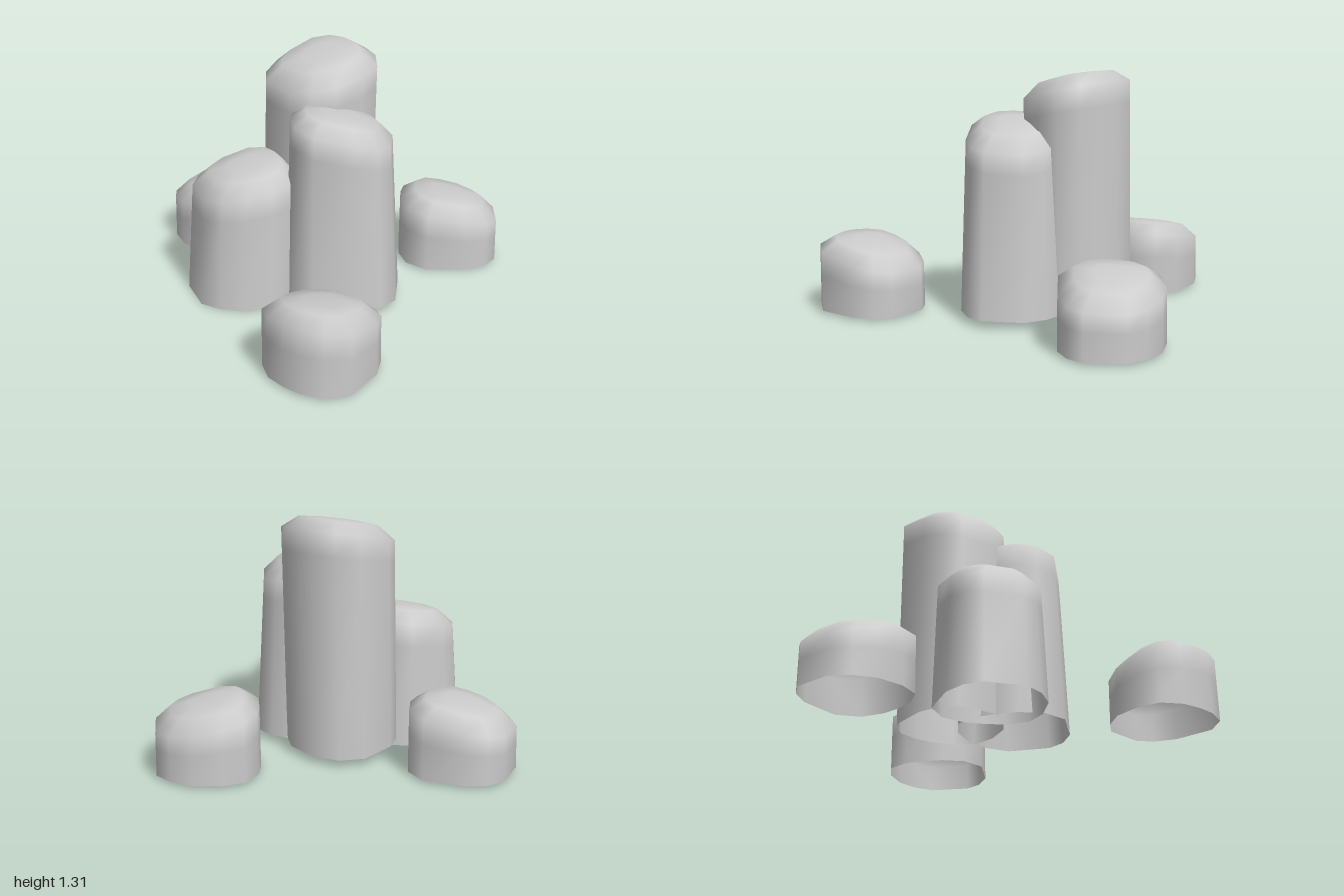
import * as THREE from 'three';

const material = new THREE.MeshStandardMaterial({ color: 0xcccccc, side: THREE.DoubleSide });

// Worn footprint (x, z) shared by all columns; its cap is high at -x and low at +x
const outline = [[-.27, -.03], [-.25, -.14], [-.18, -.24], [-.06, -.27], [.09, -.25], [.2, -.18], [.27, -.09],
  [.27, .12], [.21, .2], [.1, .255], [-.12, .27], [-.23, .19], [-.27, .07]];

// turn: degrees from x towards z, rim: rim height at the middle, tilt: slope of the cap,
// shrink: width of the top against the foot, lean: sideways shift of the top
const columns = [
  { name: 'tallColumn', x: 0.11, z: 0, turn: 194, base: 0.04, rim: 1.197, tilt: 0.235, scale: 1.02, shrink: 1, lean: [0, 0.02] },
  { name: 'frontColumn', x: -0.05, z: 0.3, turn: 58, base: 0.04, rim: 0.965, tilt: 0.23, scale: 1.1, shrink: 0.88, lean: [-0.01, -0.01] },
  { name: 'backLeftColumn', x: -0.337, z: -0.153, turn: 209, base: 0, rim: 0.655, tilt: 0.2, scale: 1.05, shrink: 0.92, lean: [0.01, 0.01] },
  { name: 'frontLeftStump', x: -0.73, z: 0.7, turn: 0, base: 0.015, rim: 0.303, tilt: 0.2, scale: 1, shrink: 0.99, lean: [0, 0] },
  { name: 'frontRightStump', x: 0.725, z: 0.463, turn: 54, base: 0.015, rim: 0.303, tilt: 0.2, scale: 1.01, shrink: 0.99, lean: [0, 0] },
  { name: 'backStump', x: 0.077, z: -0.7, turn: -95, base: 0.015, rim: 0.303, tilt: 0.2, scale: 1, shrink: 0.99, lean: [0, 0] },
];

// Open-bottomed column: straight wall, sloping rim, wide bevel and a slightly domed cap
function makeColumn({ name, x, z, turn, base, rim, tilt, scale, shrink, lean }) {
  const n = outline.length;
  const angle = THREE.MathUtils.degToRad(turn);
  const highSide = THREE.MathUtils.degToRad(169);
  const positions = [];
  const index = [];

  // t: share of the way up the wall, inset: ring size, lift: height above the rim
  const rings = [
    { t: 0, inset: 1, lift: 0 },
    { t: 1 - 0.12 / rim, inset: 1, lift: 0 },
    { t: 1, inset: 1, lift: 0 },
    { t: 1, inset: 0.7, lift: 0.068 },
    { t: 1, inset: 0.35, lift: 0.08 },
  ];
  for (const { t, inset, lift } of rings) {
    const size = scale * inset * THREE.MathUtils.lerp(1, shrink, t);
    for (const [cornerX, cornerZ] of outline) {
      const px = cornerX * size, pz = cornerZ * size;
      const top = rim + lift + tilt * (px * Math.cos(highSide) + pz * Math.sin(highSide));
      positions.push(
        px * Math.cos(angle) - pz * Math.sin(angle) + lean[0] * t,
        THREE.MathUtils.lerp(base, top, t),
        px * Math.sin(angle) + pz * Math.cos(angle) + lean[1] * t,
      );
    }
  }
  positions.push(lean[0], rim + 0.082, lean[1]);

  // Wall and bevel strips, then the fan that closes the cap
  const last = (rings.length - 1) * n;
  for (let start = 0; start < last; start += n) {
    for (let i = 0; i < n; i++) {
      const a = start + i, b = start + (i + 1) % n;
      index.push(a, a + n, b, b, a + n, b + n);
    }
  }
  for (let i = 0; i < n; i++) index.push(last + i, last + n, last + (i + 1) % n);

  const geometry = new THREE.BufferGeometry();
  geometry.setAttribute('position', new THREE.Float32BufferAttribute(positions, 3));
  geometry.setIndex(index);
  geometry.computeVertexNormals();
  const mesh = new THREE.Mesh(geometry, material);
  mesh.name = name;
  mesh.position.set(x, 0, z);
  return mesh;
}

export function createModel() {
  const group = new THREE.Group();
  group.name = 'rockColumns';
  for (const column of columns) group.add(makeColumn(column));
  return group;
}
